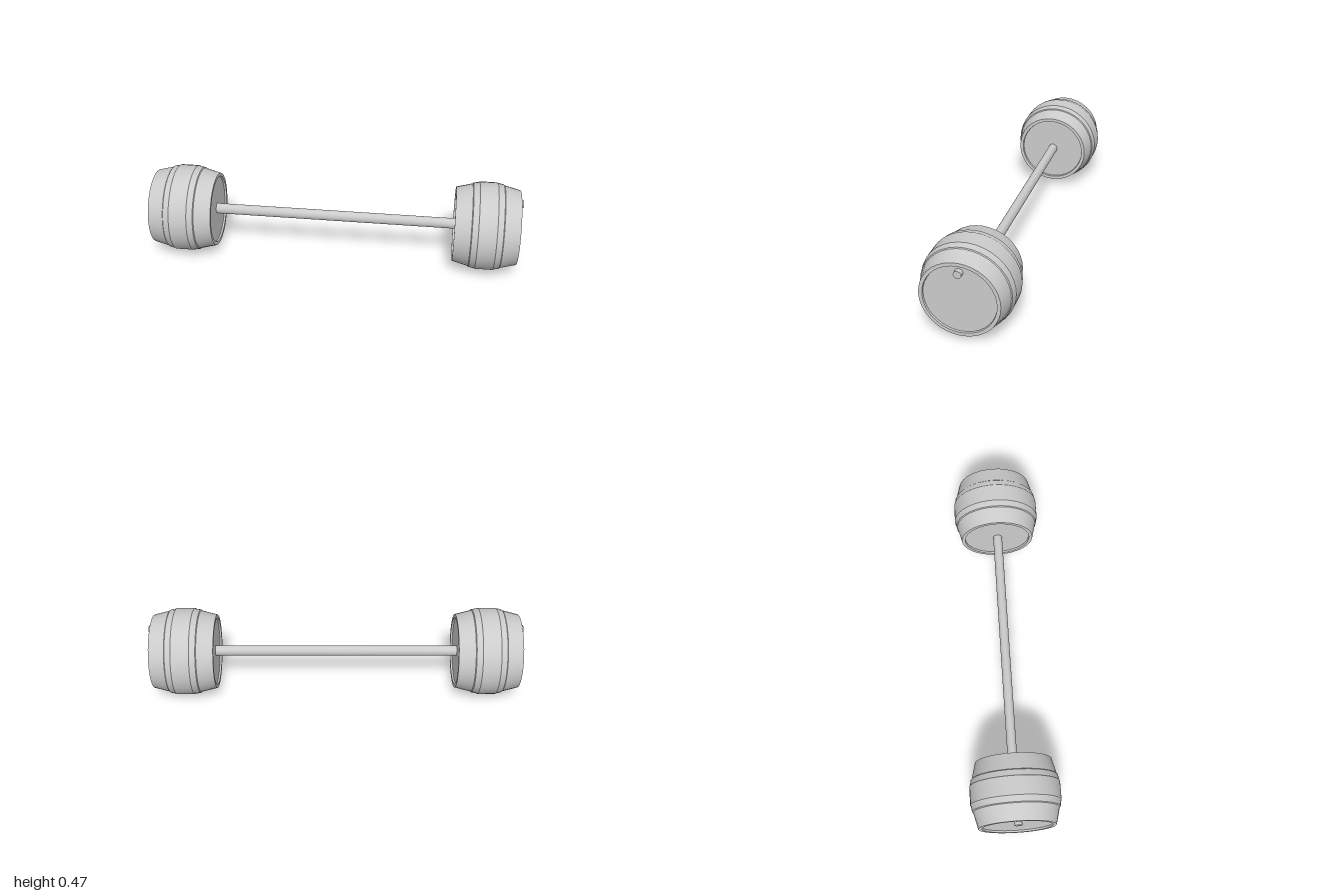
import * as THREE from 'three';
import { toCreasedNormals } from 'three/addons/utils/BufferGeometryUtils.js';

const material = new THREE.MeshStandardMaterial({ color: 0xcccccc });
const AXIS_Y = 0.236;

function addMesh(parent, name, geometry, x, y, z) {
  const mesh = new THREE.Mesh(geometry, material);
  mesh.name = name;
  mesh.position.set(x, y, z);
  parent.add(mesh);
  return mesh;
}

// Keg profile as [radius, distance from the middle], from the middle to the recessed lid
const halfProfile = [
  [0.235, 0.048], [0.232, 0.052], [0.227, 0.08], [0.222, 0.084],
  [0.2, 0.17], [0.182, 0.17], [0.18, 0.16], [0, 0.16],
];

function kegGeometry() {
  const inner = halfProfile.map(([r, d]) => new THREE.Vector2(r, -d)).reverse();
  const outer = halfProfile.map(([r, d]) => new THREE.Vector2(r, d));
  const lathe = new THREE.LatheGeometry([...inner, ...outer], 36);
  lathe.rotateZ(-Math.PI / 2);
  return toCreasedNormals(lathe, 0.3);
}

export function createModel() {
  const model = new THREE.Group();
  model.name = 'kegBarbell';

  // Handle between the kegs, slightly taller than deep
  const bar = new THREE.CylinderGeometry(1, 1, 1.34, 24);
  bar.rotateZ(Math.PI / 2);
  bar.scale(1, 0.029, 0.025);
  addMesh(model, 'bar', bar, 0, 0.239, 0);

  // One keg at each end, turned so its plug faces outward
  const keg = kegGeometry();
  const plug = new THREE.CylinderGeometry(0.02, 0.02, 0.03, 20).rotateZ(-Math.PI / 2);
  for (const side of [1, -1]) {
    const weight = new THREE.Group();
    weight.name = side > 0 ? 'leftWeight' : 'rightWeight';
    weight.position.set(side * 0.815, AXIS_Y, side * -0.003);
    weight.rotation.y = side > 0 ? 0 : Math.PI;
    addMesh(weight, 'keg', keg, 0, 0, 0);
    addMesh(weight, 'plug', plug, 0.17, 0.147, -0.001);
    model.add(weight);
  }
  return model;
}
